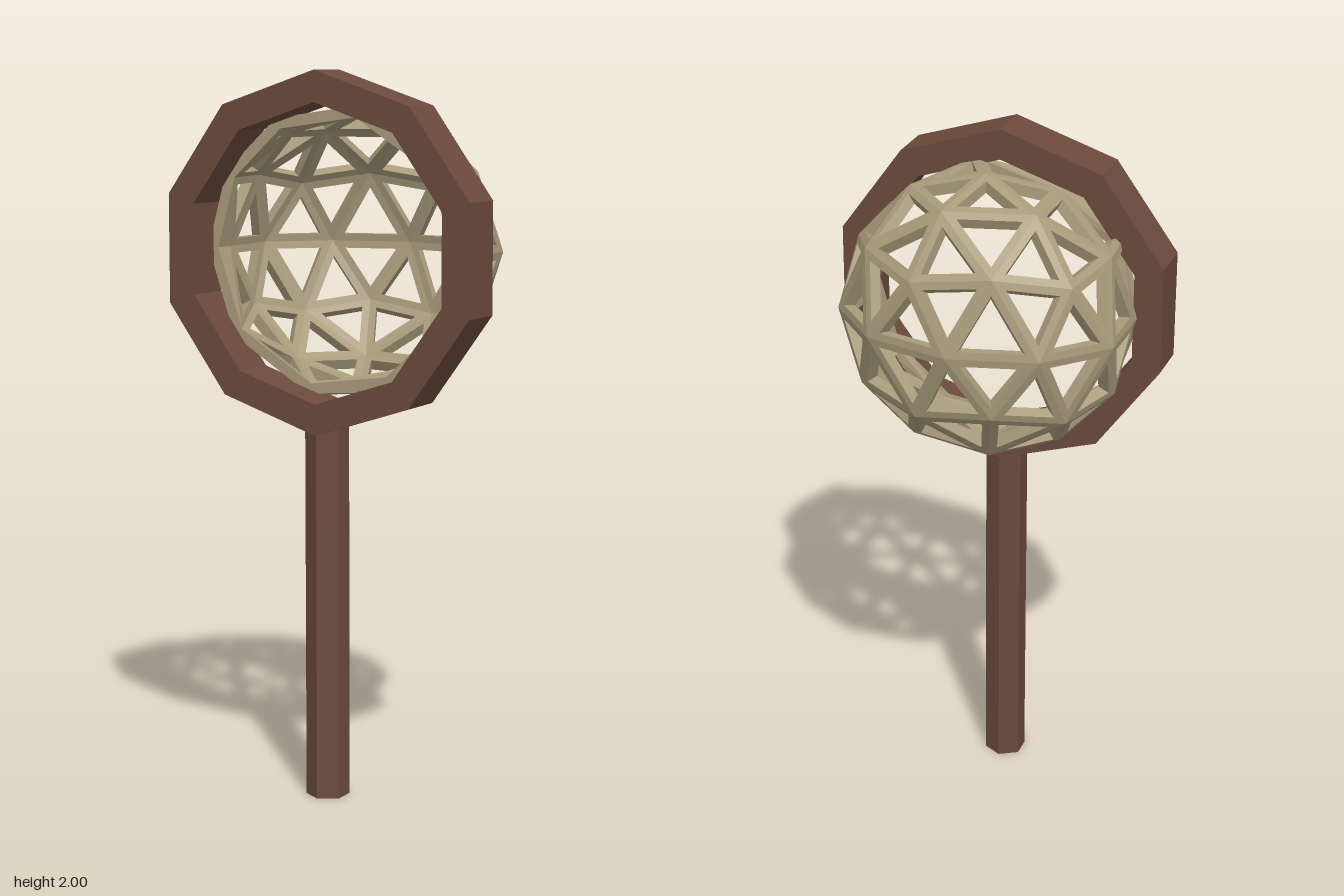
import * as THREE from 'three';

const CY = 1.51; // height of the hoop centre

// Regular polygon outline with one corner at the top
function polygon(PathType, radius, sides) {
  const pts = [];
  for (let i = 0; i < sides; i++) {
    const a = Math.PI / 2 + (i / sides) * Math.PI * 2;
    pts.push(new THREE.Vector2(Math.cos(a) * radius, Math.sin(a) * radius));
  }
  return new PathType(pts);
}

// Triangles of an icosahedron with vertical poles, each split in four
function sphereTriangles() {
  const ring = (y, offset) => Array.from({ length: 5 }, (_, i) => {
    const a = THREE.MathUtils.degToRad(offset + i * 72), r = Math.sqrt(1 - y * y);
    return new THREE.Vector3(Math.sin(a) * r, y, -Math.cos(a) * r);
  });
  const h = 1 / Math.sqrt(5);
  const up = ring(h, 18), low = ring(-h, 54);
  const top = new THREE.Vector3(0, 1, 0), bottom = new THREE.Vector3(0, -1, 0);
  const faces = [];
  for (let i = 0; i < 5; i++) {
    const j = (i + 1) % 5;
    faces.push([top, up[i], up[j]], [up[i], low[i], up[j]],
      [low[i], low[j], up[j]], [bottom, low[j], low[i]]);
  }
  const mid = (a, b) => a.clone().add(b).normalize();
  return faces.flatMap(([a, b, c]) => {
    const ab = mid(a, b), bc = mid(b, c), ca = mid(c, a);
    return [[a, ab, ca], [ab, b, bc], [ca, bc, c], [ab, bc, ca]];
  });
}

// Lattice basket: every triangle becomes a frame with an inset hole and thickness
function netGeometry() {
  const pos = [];
  const quad = (a, b, c, d) => [a, b, c, a, c, d].forEach((p) => pos.push(p.x, p.y, p.z));
  const isRim = (v) => v.z > 0.33;
  const place = (v, s) => {
    if (!isRim(v)) return new THREE.Vector3(v.x * 0.415 * s, v.y * 0.405 * s, 0.037 + v.z * 0.32 * s);
    // the open mouth is gathered onto the hoop
    const k = (0.402 * s) / Math.hypot(v.x, v.y);
    return new THREE.Vector3(v.x * k, v.y * k, 0.18);
  };
  const inset = (t) => {
    const [a, b, c] = t;
    const la = b.distanceTo(c), lb = c.distanceTo(a), lc = a.distanceTo(b), p = la + lb + lc;
    const centre = new THREE.Vector3().addScaledVector(a, la / p)
      .addScaledVector(b, lb / p).addScaledVector(c, lc / p);
    const area = b.clone().sub(a).cross(c.clone().sub(a)).length() / 2;
    const k = Math.min(1, 0.021 / Math.max((2 * area) / p, 1e-5));
    return t.map((v) => v.clone().lerp(centre, k));
  };
  for (const tri of sphereTriangles()) {
    // leave the front of the basket open
    if (tri.every(isRim)) continue;
    // keep corners counter-clockwise seen from outside
    const n = tri[1].clone().sub(tri[0]).cross(tri[2].clone().sub(tri[0]));
    const t = n.dot(tri[0]) > 0 ? tri : [tri[0], tri[2], tri[1]];
    const outer = t.map((v) => place(v, 1)), inner = t.map((v) => place(v, 0.92));
    const po = inset(outer), pi = inset(inner);
    for (let i = 0; i < 3; i++) {
      const j = (i + 1) % 3;
      quad(outer[i], outer[j], po[j], po[i]);
      quad(inner[j], inner[i], pi[i], pi[j]);
      quad(po[i], po[j], pi[j], pi[i]);
      if (isRim(t[i]) && isRim(t[j])) quad(outer[j], outer[i], inner[i], inner[j]);
    }
  }
  const g = new THREE.BufferGeometry();
  g.setAttribute('position', new THREE.Float32BufferAttribute(pos, 3));
  g.computeVertexNormals();
  return g;
}

export function createModel() {
  const group = new THREE.Group();
  const wood = new THREE.MeshStandardMaterial({ color: 0x6b4a3c, flatShading: true });
  const cord = new THREE.MeshStandardMaterial({ color: 0xa89b7b, flatShading: true, side: THREE.DoubleSide });
  const add = (name, geometry, material, y, z) => {
    const mesh = new THREE.Mesh(geometry, material);
    mesh.name = name;
    mesh.position.set(0, y, z);
    group.add(mesh);
  };

  // Ten-sided hoop
  const shape = polygon(THREE.Shape, 0.49, 10);
  shape.holes.push(polygon(THREE.Path, 0.405, 10));
  add('hoop', new THREE.ExtrudeGeometry(shape, { depth: 0.135, bevelEnabled: false }), wood, CY, 0.145);

  // Six-sided handle
  add('handle', new THREE.CylinderGeometry(0.06, 0.06, 1.06, 6), wood, 0.53, 0.213);

  // Net behind the hoop
  add('net', netGeometry(), cord, CY, 0);
  return group;
}
